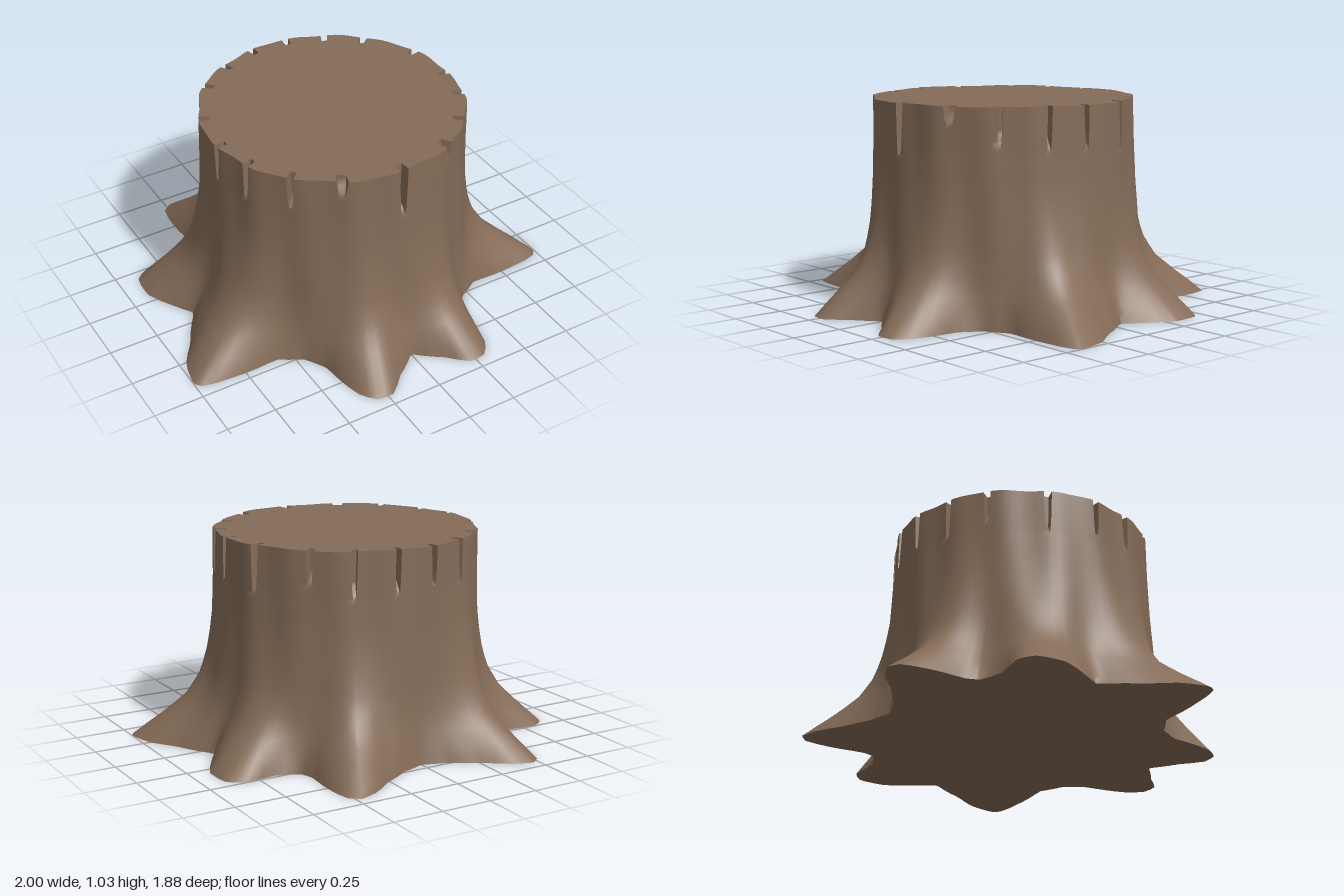
import * as THREE from 'three';
import { toCreasedNormals } from 'three/addons/utils/BufferGeometryUtils.js';

const HEIGHT = 1.03, TRUNK = 0.642, TAU = Math.PI * 2;

// Left half of the root outline on the ground as [x, z], from front to back
const outline = [
  [0, 0.75], [0.14, 0.86], [0.21, 0.94], [0.3, 0.94], [0.36, 0.87], [0.39, 0.73], [0.4, 0.62],
  [0.46, 0.52], [0.58, 0.45], [0.82, 0.455], [0.97, 0.44], [1, 0.4], [0.97, 0.26], [0.88, 0.13],
  [0.765, -0.06], [0.83, -0.16], [0.905, -0.3], [0.9, -0.44], [0.83, -0.5], [0.74, -0.49],
  [0.66, -0.48], [0.55, -0.52], [0.525, -0.6], [0.54, -0.75], [0.525, -0.91], [0.46, -0.95],
  [0.36, -0.9], [0.26, -0.82], [0.12, -0.74], [0, -0.7],
].map(([x, z]) => [Math.atan2(x, z), Math.hypot(x, z)]);

// How much of the root spread remains at each height
const flare = [[0, 1], [0.05, 0.85], [0.1, 0.69], [0.2, 0.4], [0.3, 0.24], [0.4, 0.15],
  [0.6, 0.05], [0.8, 0.015], [HEIGHT, 0]];

// Splits in the rim: [x, z, lowest height, half width in radians]
const halfNotches = [[0.28, 0.56, 0.94, 0.045], [0.45, 0.41, 0.85, 0.028], [0.575, 0.23, 0.83, 0.03],
  [0.61, 0.04, 0.83, 0.026], [0.59, -0.2, 0.8, 0.03], [0.445, -0.44, 0.86, 0.028],
  [0.285, -0.56, 0.81, 0.026], [0.095, -0.62, 0.83, 0.028]];
const notches = [[0, 0.6, 0.78, 0.036]];
for (const [x, z, low, w] of halfNotches) notches.push([x, z, low, w], [-x, z, low + 0.01, w]);

function lerpTable(table, t) {
  for (let i = 1; i < table.length; i++) {
    const [a, u] = table[i - 1], [b, v] = table[i];
    if (t <= b) return u + (v - u) * Math.max(0, (t - a) / (b - a));
  }
  return table[table.length - 1][1];
}

// Ground radius at an angle, mirrored left to right
function groundRadius(a) {
  a = Math.abs(Math.atan2(Math.sin(a), Math.cos(a)));
  return lerpTable(outline, a);
}

// Roots soften into the trunk as they rise
function barkRadius(a, y) {
  const spread = 0.015 + 0.3 * Math.min(y, 0.6);
  let sum = 0;
  for (let k = -3; k <= 3; k++) sum += groundRadius(a + (k / 3) * spread);
  const ripple = 0.005 * Math.sin(17 * a + 2 * y) + 0.004 * Math.sin(9 * a - 3 * y + 1);
  return TRUNK + (sum / 7 - TRUNK) * lerpTable(flare, y) + ripple * Math.min(1, y * 3);
}

// Vertical columns: an even ring plus four columns for each split
function makeColumns() {
  const columns = [];
  const cuts = notches.map(([x, z, low, w]) => ({ c: (Math.atan2(x, z) + TAU) % TAU, low, w }));
  for (let i = 0; i < 150; i++) {
    const a = ((i + 0.5) / 150) * TAU;
    const near = cuts.some(({ c, w }) => Math.abs(Math.atan2(Math.sin(a - c), Math.cos(a - c))) < w + 0.008);
    if (!near) columns.push({ a, shift: 0 });
  }
  for (const { c, low, w } of cuts) {
    for (const s of [-1, -0.86, 0.86, 1]) {
      columns.push({ a: c, shift: s * w, low, cut: Math.abs(s) < 1 ? 0.052 : 0 });
    }
  }
  return columns.sort((p, q) => p.a + p.shift - q.a - q.shift);
}

// Point on the bark for a column and height
function barkPoint(col, y) {
  let a = col.a, r;
  if (col.shift) {
    const open = THREE.MathUtils.clamp((y - col.low) / (HEIGHT - col.low), 0, 1);
    a += col.shift * (0.35 + 0.65 * Math.sqrt(open));
    r = barkRadius(a, y) - col.cut * THREE.MathUtils.clamp((y - col.low) / 0.05, 0, 1);
  } else {
    r = barkRadius(a, y);
  }
  const rim = y === HEIGHT ? 0.004 * (Math.sin(7 * a) - 1) * 0.5 : 0;
  return [r * Math.sin(a), y + rim, r * Math.cos(a)];
}

function geometryFrom(points, index) {
  const g = new THREE.BufferGeometry();
  g.setAttribute('position', new THREE.Float32BufferAttribute(points.flat(), 3));
  g.setIndex(index);
  return g;
}

// Flat fan closing one end of the stump
function capGeometry(columns, y, up) {
  const points = [[0, y, 0], ...columns.map((c) => barkPoint(c, y))];
  const index = [], n = columns.length;
  for (let i = 0; i < n; i++) {
    const p = i + 1, q = ((i + 1) % n) + 1;
    index.push(0, up ? p : q, up ? q : p);
  }
  const g = geometryFrom(points, index);
  g.computeVertexNormals();
  return g;
}

export function createModel() {
  const group = new THREE.Group();
  group.name = 'treeStump';
  const barkBrown = new THREE.MeshStandardMaterial({ color: 0x846b57 });
  barkBrown.name = 'barkBrown';

  const columns = makeColumns(), n = columns.length;
  const rows = [0, 0.025, 0.05, 0.08, 0.11, 0.15, 0.2, 0.25, 0.3, 0.36, 0.43, 0.52, 0.62, 0.7];
  for (let y = 0.76; y < 1.02; y += 0.02) rows.push(y);
  rows.push(HEIGHT);

  // Bark and spreading roots
  const points = [], index = [];
  for (const y of rows) for (const c of columns) points.push(barkPoint(c, y));
  for (let j = 0; j < rows.length - 1; j++) {
    for (let i = 0; i < n; i++) {
      const k = (i + 1) % n;
      const a = j * n + i, b = j * n + k, c = b + n, d = a + n;
      index.push(a, b, c, a, c, d);
    }
  }
  const bark = toCreasedNormals(geometryFrom(points, index), 0.8);

  const add = (name, geometry) => {
    const mesh = new THREE.Mesh(geometry, barkBrown);
    mesh.name = name;
    group.add(mesh);
  };
  add('barkAndRoots', bark);
  add('cutTop', capGeometry(columns, HEIGHT, true));
  add('underside', capGeometry(columns, 0, false));
  return group;
}
